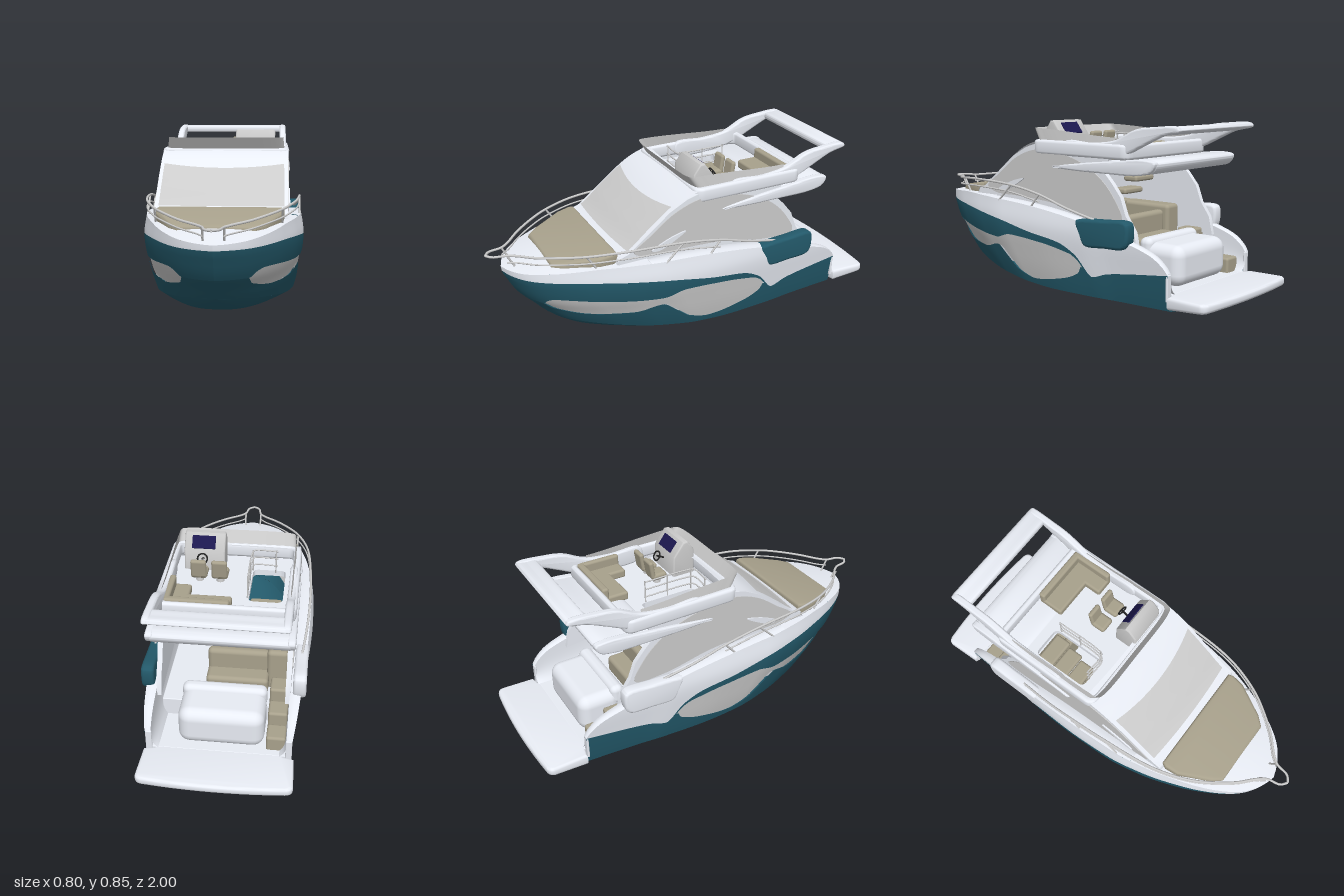
import * as THREE from 'three';
import { toCreasedNormals } from 'three/addons/utils/BufferGeometryUtils.js';
import { RoundedBoxGeometry } from 'three/addons/geometries/RoundedBoxGeometry.js';
import { ParametricGeometry } from 'three/addons/geometries/ParametricGeometry.js';

const paint = (color) => new THREE.MeshStandardMaterial({ color, side: THREE.DoubleSide });
const WHITE = paint(0xe8ecf4), TEAL = paint(0x23596a), GLASS = paint(0xc0c0c0), BEIGE = paint(0xa8a18c),
  STEEL = paint(0xcccccc), NAVY = paint(0x1c1850), BLACK = paint(0x222222);

// Monotone cubic through [x, y] points
function curve(pts) {
  const p = [...pts].sort((a, b) => a[0] - b[0]), n = p.length;
  const d = p.slice(1).map((q, i) => (q[1] - p[i][1]) / (q[0] - p[i][0]));
  const m = p.map((_, i) => i === 0 ? d[0] : i === n - 1 ? d[n - 2]
    : d[i - 1] * d[i] <= 0 ? 0 : 2 * d[i - 1] * d[i] / (d[i - 1] + d[i]));
  return (x) => {
    if (x <= p[0][0]) return p[0][1];
    if (x >= p[n - 1][0]) return p[n - 1][1];
    let i = 0;
    while (x > p[i + 1][0]) i++;
    const h = p[i + 1][0] - p[i][0], s = (x - p[i][0]) / h, s2 = s * s, s3 = s2 * s;
    return (2 * s3 - 3 * s2 + 1) * p[i][1] + (s3 - 2 * s2 + s) * h * m[i]
      + (3 * s2 - 2 * s3) * p[i + 1][1] + (s3 - s2) * h * m[i + 1];
  };
}

// Hull surface: t runs from transom to stem, y is height
const STERN = -0.78;
const stem = curve([[0, 0.6], [0.155, 0.76], [0.2, 0.8], [0.26, 0.855], [0.34, 0.9], [0.4, 0.925], [0.47, 0.93]]);
const beam = curve([[0, 0.35], [0.1, 0.36], [0.19, 0.37], [0.28, 0.385], [0.457, 0.398], [0.575, 0.394], [0.69, 0.364],
  [0.81, 0.3], [0.868, 0.255], [0.921, 0.2], [0.955, 0.15], [0.98, 0.09], [0.993, 0.04], [1, 0]]);
const flare = curve([[0, 0.84], [0.045, 0.885], [0.2, 0.96], [0.34, 1], [0.46, 0.955]]);
const tOf = (z, y) => (z - STERN) / (stem(y) - STERN);
const hull = (t, y) => [beam(t) * flare(y), y, STERN + t * (stem(y) - STERN)];
const hullLine = (pts) => curve(pts.map(([z, y]) => [tOf(z, y), y]));
const chine = curve([[0, 0.047], [0.45, 0.045], [0.72, 0.075], [0.87, 0.115], [0.94, 0.135], [1, 0.155]]);
const keel = curve([[0, 0.03], [0.5, 0], [0.77, 0.022], [0.9, 0.06], [0.96, 0.11], [1, 0.155]]);
const tealTop = hullLine([[0.925, 0.395], [0.67, 0.392], [0.25, 0.358], [0, 0.315], [-0.18, 0.288], [-0.28, 0.24],
  [-0.37, 0.145], [-0.46, 0.17], [-0.78, 0.21]]);
const sheer = hullLine([[0.925, 0.42], [0.75, 0.44], [0.5, 0.457], [0.2, 0.452], [0, 0.44], [-0.3, 0.4], [-0.5, 0.345],
  [-0.6, 0.32], [-0.7, 0.285], [-0.76, 0.24], [-0.78, 0.212]]);
// Hull window outline: both edges meet at the ends
const WIN_AFT = [-0.318, 0.2], WIN_FORE = [0.775, 0.255];
const winTop = hullLine([WIN_AFT, [-0.3, 0.225], [-0.26, 0.238], [-0.07, 0.272], [0.14, 0.285], [0.26, 0.258],
  [0.46, 0.27], [0.73, 0.292], [0.76, 0.283], WIN_FORE]);
const winLow = hullLine([WIN_AFT, [-0.29, 0.15], [-0.18, 0.108], [0, 0.08], [0.11, 0.11], [0.19, 0.175], [0.25, 0.218],
  [0.4, 0.187], [0.57, 0.19], [0.74, 0.222], WIN_FORE]);
const lerp = THREE.MathUtils.lerp;

export function createModel() {
  const model = new THREE.Group();
  const add = (name, geo, mat, x = 0, y = 0, z = 0) => {
    const mesh = new THREE.Mesh(geo, mat);
    mesh.name = name;
    mesh.position.set(x, y, z);
    model.add(mesh);
    return mesh;
  };
  const patch = (name, mat, nu, nv, fn) => {
    const geo = new ParametricGeometry((u, v, target) => target.set(...fn(u, v)), nu, nv);
    geo.computeVertexNormals();
    return add(name, geo, mat);
  };
  const box = (name, mat, w, h, d, x, y, z, r = 0.012) => add(name, new RoundedBoxGeometry(w, h, d, 3, r), mat, x, y, z);
  const tube = (name, pts, r = 0.006, mat = STEEL) => add(name, new THREE.TubeGeometry(
    new THREE.CatmullRomCurve3(pts.map((p) => new THREE.Vector3(...p))), pts.length * 8, r, 8), mat);
  const outline = (pts, smooth) => new THREE.Shape(smooth
    ? new THREE.CatmullRomCurve3(pts.map(([a, b]) => new THREE.Vector3(a, b, 0)), true).getPoints(72)
      .slice(0, -1).map((p) => new THREE.Vector2(p.x, p.y))
    : pts.map((p) => new THREE.Vector2(...p)));
  const extrude = (shape, depth, bevel) => new THREE.ExtrudeGeometry(shape, { depth: depth - 2 * bevel, curveSegments: 10,
    bevelEnabled: bevel > 0, bevelSize: bevel, bevelThickness: bevel, bevelOffset: -bevel, bevelSegments: 3 });
  // Profile in (z, y), centred on x
  const sidePanel = (name, mat, pts, x, width, bevel = 0, smooth = true) => add(name, toCreasedNormals(
    extrude(outline(pts, smooth), width, bevel).translate(0, 0, bevel - width / 2).rotateY(-Math.PI / 2), 0.7), mat, x);
  // Plan in (x, z), thickness measured down from top
  const slab = (name, mat, shape, top, thick, bevel = 0) => add(name, toCreasedNormals(
    extrude(shape, thick, bevel).translate(0, 0, bevel).rotateX(Math.PI / 2), 0.7), mat, 0, top);
  const roundRect = (x0, x1, z0, z1, r, Type = THREE.Shape) => {
    const s = new Type();
    s.moveTo(x0 + r, z0).lineTo(x1 - r, z0).quadraticCurveTo(x1, z0, x1, z0 + r).lineTo(x1, z1 - r)
      .quadraticCurveTo(x1, z1, x1 - r, z1).lineTo(x0 + r, z1).quadraticCurveTo(x0, z1, x0, z1 - r)
      .lineTo(x0, z0 + r).quadraticCurveTo(x0, z0, x0 + r, z0);
    return s;
  };

  // Hull, decks and everything mirrored on both sides
  const under = (line, t) => Math.min(line(t), tealTop(t) - 0.02);
  const innerX = (t) => Math.min(0.31, hull(t, sheer(t))[0] - 0.025);
  const tFore = 0.64;
  for (const s of [1, -1]) {
    const side = s > 0 ? 'left' : 'right';
    const flip = ([x, y, z]) => [s * x, y, z];
    patch(side + 'HullBottom', TEAL, 70, 14, (t, v) => {
      const [x, y, z] = hull(t, chine(t));
      return [s * x * v, lerp(keel(t), y, v ** 3), z];
    });
    patch(side + 'LowerHullSide', TEAL, 160, 8, (t, v) => flip(hull(t, lerp(chine(t), under(winLow, t), v))));
    patch(side + 'UpperHullSide', TEAL, 160, 8, (t, v) => flip(hull(t, lerp(under(winTop, t), tealTop(t), v))));
    patch(side + 'Topside', WHITE, 140, 8, (t, v) => flip(hull(t, lerp(tealTop(t), sheer(t), v))));
    // Recessed window
    patch(side + 'HullWindow', GLASS, 100, 8, (u, v) => {
      const t = lerp(tOf(...WIN_AFT) - 0.004, tOf(...WIN_FORE) + 0.004, u);
      const [x, y, z] = hull(t, lerp(winLow(t) - 0.006, winTop(t) + 0.006, v));
      return [s * (x - 0.008), y, z - 0.005];
    });
    patch(side + 'Foredeck', WHITE, 50, 8, (u, v) => {
      const t = lerp(tFore, 1, u), [x, y, z] = hull(t, sheer(t));
      return [s * x * v, y + 0.018 * (1 - v * v) * Math.min(1, (1 - t) * 8), z];
    });
    patch(side + 'SideDeck', WHITE, 60, 4, (u, v) => {
      const t = u * tFore, [x, y, z] = hull(t, sheer(t));
      return [s * lerp(innerX(t), x, v), y + 0.006 * Math.sin(v * Math.PI), z];
    });
    // Cockpit side flares into the floor
    patch(side + 'CockpitWall', WHITE, 60, 8, (u, v) => {
      const t = u * tFore, y = sheer(t);
      return [s * (innerX(t) - 0.035 * (1 - v) ** 4), lerp(0.115, y, v), hull(t, y)[2]];
    });
    box(side + 'BulwarkEnd', WHITE, 0.03, 0.12, 0.012, s * 0.322, 0.152, -0.775, 0.005);

    // Cabin sides with arched glass
    sidePanel(side + 'CabinWall', WHITE, [[0.465, 0.4], [0.465, 0.44], [0.445, 0.49], [0.405, 0.503], [0.3, 0.585], [0.19, 0.67],
      [0.1, 0.717], [0.02, 0.74], [-0.2, 0.73], [-0.43, 0.69], [-0.41, 0.62], [-0.45, 0.58], [-0.5, 0.52], [-0.53, 0.44],
      [-0.58, 0.37], [-0.6, 0.28], [0.1, 0.36]], s * 0.302, 0.024, 0, false);
    sidePanel(side + 'CabinGlass', GLASS, [[0.38, 0.505], [0.29, 0.575], [0.18, 0.655], [0.08, 0.697], [0, 0.71], [-0.12, 0.7],
      [-0.26, 0.665], [-0.38, 0.6], [-0.46, 0.52], [-0.51, 0.42], [-0.35, 0.41], [-0.1, 0.455], [0.15, 0.47], [0.32, 0.475]],
    s * 0.312, 0.012);
    sidePanel(side + 'GlassFin', WHITE, [[0.29, 0.495], [0.2, 0.54], [0.11, 0.562], [0.16, 0.53], [0.25, 0.49]], s * 0.318, 0.014);

    // Overhang fin and arch arm
    sidePanel(side + 'OverhangFin', WHITE, [[-0.09, 0.632], [-0.28, 0.662], [-0.45, 0.68], [-0.64, 0.697], [-0.695, 0.685],
      [-0.675, 0.645], [-0.6, 0.625], [-0.4, 0.622], [-0.2, 0.624]], s * 0.311, 0.036, 0.008);
    sidePanel(side + 'ArchArm', WHITE, [[-0.15, 0.755], [-0.32, 0.757], [-0.46, 0.775], [-0.57, 0.825], [-0.67, 0.84],
      [-0.8, 0.842], [-0.808, 0.825], [-0.72, 0.802], [-0.62, 0.757], [-0.52, 0.712], [-0.38, 0.68], [-0.15, 0.69]],
    s * 0.293, 0.036, 0.01);

    // Side fender
    sidePanel(side + 'Fender', s > 0 ? TEAL : WHITE, [[-0.285, 0.4], [-0.31, 0.408], [-0.45, 0.418], [-0.57, 0.424],
      [-0.59, 0.41], [-0.588, 0.325], [-0.565, 0.3], [-0.45, 0.29], [-0.35, 0.285], [-0.33, 0.295]], s * 0.354, 0.062, 0.014);

    // Guard rails with slanted posts
    const rail = [[0, 0.492, 0.994], [0.03, 0.492, 0.97], [0.045, 0.492, 0.905], [0.075, 0.495, 0.865], [0.15, 0.503, 0.795],
      [0.225, 0.515, 0.7], [0.285, 0.525, 0.6], [0.345, 0.536, 0.42], [0.372, 0.53, 0.15], [0.377, 0.5, -0.05],
      [0.37, 0.45, -0.22], [0.355, 0.41, -0.38]];
    tube(side + 'Rail', rail.map(flip));
    tube(side + 'LowerRail', rail.slice(2, 10).map(([x, y, z]) => [s * x, y - 0.036, z]), 0.004);
    [[2, 0.04], [6, 0.05], [8, -0.09], [9, -0.06]].forEach(([i, rake]) => {
      const [x, y, z] = rail[i], foot = z - rake, t = tOf(foot, 0.44);
      tube(side + 'RailPost', [[s * x, y, z], [s * Math.min(x, beam(t) * 0.95), sheer(t) - 0.01, foot]], 0.005);
    });
  }

  // Stern: transom, swim platform, cockpit floors
  patch('transom', TEAL, 20, 8, (u, v) => {
    const a = 2 * u - 1, y = lerp(lerp(0.03, 0.047, Math.abs(a) ** 3), 0.1, v);
    return [a * hull(0, y)[0], y, STERN];
  });
  const platform = new THREE.Shape();
  platform.moveTo(-0.3, -0.7).lineTo(-0.3, -0.775).lineTo(-0.347, -0.785).lineTo(-0.353, -0.95)
    .quadraticCurveTo(-0.352, -0.978, -0.32, -0.983).quadraticCurveTo(0, -1.017, 0.32, -0.983)
    .quadraticCurveTo(0.352, -0.978, 0.353, -0.95).lineTo(0.347, -0.785).lineTo(0.3, -0.775).lineTo(0.3, -0.7);
  const swim = slab('swimPlatform', WHITE, platform, 0.118, 0.04, 0.014).geometry.attributes.position;
  // Underside deepens toward the hull
  for (let i = 0; i < swim.count; i++) {
    if (swim.getY(i) < -0.02) swim.setY(i, swim.getY(i) - 0.08 * Math.min(0.22, swim.getZ(i) + 1));
  }
  box('cockpitFloor', WHITE, 0.63, 0.02, 0.27, 0, 0.109, -0.64, 0.004);
  box('saloonFloor', WHITE, 0.6, 0.1, 0.7, 0, 0.16, -0.19, 0.004);
  box('sternLocker', WHITE, 0.4, 0.19, 0.22, -0.005, 0.21, -0.635, 0.055);
  box('lockerBackrest', WHITE, 0.4, 0.1, 0.07, -0.005, 0.275, -0.545, 0.03);
  [[0.19, -0.69], [0.25, -0.59], [0.31, -0.49]].forEach(([y, z]) => box('cockpitStep', BEIGE, 0.09, y - 0.1, 0.1, -0.26, (y + 0.1) / 2, z));
  box('saloonSofaSeat', BEIGE, 0.3, 0.09, 0.12, -0.05, 0.25, -0.4, 0.02);
  box('saloonSofaBack', BEIGE, 0.3, 0.17, 0.05, -0.05, 0.31, -0.35, 0.022);
  box('saloonSideSofa', BEIGE, 0.1, 0.22, 0.3, -0.24, 0.31, -0.25, 0.02);

  // Cabin front with a ledge below the windscreen
  const front = curve([[0.44, 0.465], [0.485, 0.452], [0.503, 0.405], [0.585, 0.3], [0.67, 0.19], [0.717, 0.115], [0.745, 0.045], [0.757, 0]]);
  const frontPoint = (x, y, off) => [x, y + off * 0.7, front(y) + off + 0.015 * (1 - (x / 0.315) ** 2)];
  patch('cabinFront', WHITE, 20, 40, (u, v) => frontPoint(lerp(-0.314, 0.314, u), lerp(0.44, 0.757, v), 0));
  patch('windscreen', GLASS, 20, 20, (u, v) => {
    const x = lerp(-0.295, 0.295, u);
    return frontPoint(x, lerp(0.507, 0.668 + 0.018 * (x / 0.295) ** 2, v), 0.005);
  });

  // Sloping sunpad on the foredeck
  const pad = slab('sunpad', BEIGE, outline([[-0.285, 0.45], [0.285, 0.45], [0.295, 0.475], [0.287, 0.54], [0.21, 0.69], [0.17, 0.735],
    [-0.17, 0.735], [-0.21, 0.69], [-0.287, 0.54], [-0.295, 0.475]]), 0, 0.06, 0.014);
  const pos = pad.geometry.attributes.position;
  for (let i = 0; i < pos.count; i++) pos.setY(i, pos.getY(i) + lerp(0.516, 0.468, (pos.getZ(i) - 0.45) / 0.285));
  pad.geometry = toCreasedNormals(pad.geometry, 0.7);

  // Flybridge: coaming, floor with stair opening, rear deck and arch
  const coaming = roundRect(-0.322, 0.322, -0.54, 0.055, 0.05);
  coaming.holes.push(roundRect(-0.283, 0.283, -0.51, 0.03, 0.03, THREE.Path));
  slab('flybridgeCoaming', WHITE, coaming, 0.757, 0.07, 0.014);
  const floor = roundRect(-0.3, 0.3, -0.52, 0.04, 0.02);
  floor.holes.push(roundRect(-0.25, -0.09, -0.35, -0.06, 0.03, THREE.Path));
  slab('flybridgeFloor', WHITE, floor, 0.672, 0.03);
  sidePanel('rearDeck', WHITE, [[-0.4, 0.635], [-0.4, 0.672], [-0.55, 0.686], [-0.66, 0.695], [-0.695, 0.68], [-0.675, 0.642],
    [-0.6, 0.628]], 0, 0.62, 0.006);
  sidePanel('archCrossbar', WHITE, [[-0.71, 0.836], [-0.76, 0.842], [-0.8, 0.842], [-0.81, 0.828], [-0.77, 0.812], [-0.71, 0.808]],
    0, 0.58, 0.003);
  for (let i = 0; i < 4; i++) box('stairTread', BEIGE, 0.15, 0.03, 0.085, -0.17, 0.62 - i * 0.07, -0.3 + i * 0.07);
  [0.7, 0.74, 0.78].forEach((y) => tube('stairRail', [[-0.21, y, -0.06], [-0.095, y, -0.06], [-0.085, y, -0.1], [-0.085, y, -0.32]], 0.0035));
  [[-0.2, -0.06], [-0.088, -0.07], [-0.085, -0.2], [-0.085, -0.32]].forEach(([x, z]) =>
    tube('stairRailPost', [[x, 0.66, z], [x, 0.785, z]], 0.0035));

  // Wraparound screen, raked forward
  const screenPath = new THREE.CatmullRomCurve3([[-0.298, -0.45], [-0.298, -0.25], [-0.298, -0.03], [-0.292, 0.022], [-0.26, 0.036],
    [0, 0.042], [0.26, 0.036], [0.292, 0.022], [0.298, -0.03], [0.298, -0.25], [0.298, -0.45]]
    .map(([x, z]) => new THREE.Vector3(x, 0, z)));
  patch('flybridgeScreen', GLASS, 80, 4, (u, v) => {
    const p = screenPath.getPoint(u), k = THREE.MathUtils.smoothstep(p.z, -0.3, 0.03);
    return [p.x * (1 - 0.025 * v), lerp(0.745, lerp(0.785, 0.812, THREE.MathUtils.smoothstep(p.z, -0.45, 0.03)), v), p.z + 0.042 * k * v];
  });

  // Helm and seating
  sidePanel('helmConsole', STEEL, [[0.03, 0.66], [0.03, 0.8], [-0.005, 0.848], [-0.03, 0.848], [-0.085, 0.775], [-0.09, 0.66]],
    0.15, 0.2, 0.008, false);
  box('helmDisplay', NAVY, 0.115, 0.006, 0.065, 0.155, 0.811, -0.061, 0.002).rotation.x = -0.92;
  add('steeringWheel', new THREE.TorusGeometry(0.024, 0.004, 8, 24), BLACK, 0.155, 0.755, -0.125).rotation.x = 0.5;
  tube('steeringColumn', [[0.155, 0.755, -0.125], [0.155, 0.735, -0.085]], 0.005, BLACK);
  for (const x of [0.06, 0.16]) {
    box('helmSeat', BEIGE, 0.08, 0.035, 0.08, x, 0.715, -0.18, 0.015);
    box('helmSeatBack', BEIGE, 0.075, 0.095, 0.024, x, 0.755, -0.218, 0.011).rotation.x = -0.15;
    add('helmSeatPost', new THREE.CylinderGeometry(0.014, 0.02, 0.05, 16), STEEL, x, 0.69, -0.18);
  }
  box('sofaRearSeat', BEIGE, 0.3, 0.045, 0.13, 0.13, 0.69, -0.44);
  box('sofaSideSeat', BEIGE, 0.1, 0.045, 0.21, 0.23, 0.69, -0.395);
  box('sofaRearBack', BEIGE, 0.3, 0.09, 0.035, 0.13, 0.715, -0.492);
  box('sofaSideBack', BEIGE, 0.03, 0.09, 0.21, 0.267, 0.715, -0.395);
  return model;
}
